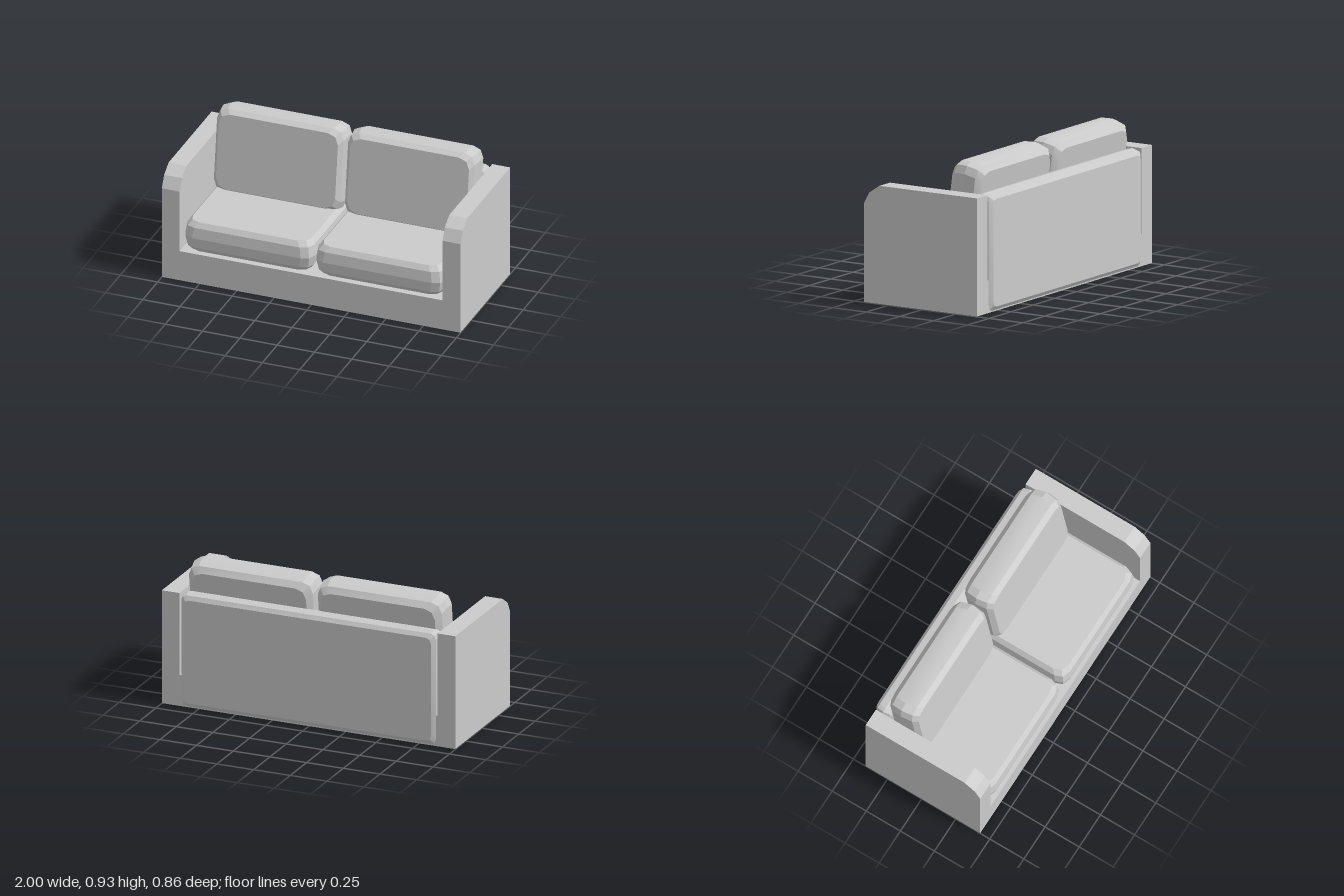
import * as THREE from 'three';
import { toCreasedNormals } from 'three/addons/utils/BufferGeometryUtils.js';

const material = new THREE.MeshStandardMaterial({ color: 0xcccccc });

// Rectangle outline with two-step chamfered corners, counter-clockwise
function outline(hx, hy, c) {
  const points = [];
  for (const [sx, sy] of [[1, 1], [-1, 1], [-1, -1], [1, -1]]) {
    const corner = [[hx, hy - c], [hx - 0.28 * c, hy - 0.28 * c], [hx - c, hy]];
    if (sx * sy < 0) corner.reverse();
    corner.forEach(([x, y]) => points.push([sx * x, sy * y]));
  }
  return points;
}

// Padded slab lofted along z through layers of [z, inset]
function paddedSlab(hx, hy, c, layers) {
  const positions = [], index = [];
  const n = 12;
  for (const [z, inset] of layers) {
    for (const [x, y] of outline(hx - inset, hy - inset, c)) positions.push(x, y, z);
  }
  for (let k = 0; k < layers.length - 1; k++) {
    for (let i = 0; i < n; i++) {
      const a = k * n + i, b = k * n + (i + 1) % n;
      index.push(a, b, b + n, a, b + n, a + n);
    }
  }
  const last = (layers.length - 1) * n;
  for (let i = 1; i < n - 1; i++) {
    index.push(0, i + 1, i, last, last + i, last + i + 1);
  }
  const geometry = new THREE.BufferGeometry();
  geometry.setAttribute('position', new THREE.Float32BufferAttribute(positions, 3));
  geometry.setIndex(index);
  return toCreasedNormals(geometry, 0.3);
}

export function createModel() {
  const sofa = new THREE.Group();
  sofa.name = 'sofa';
  const add = (name, geometry, x, y, z) => {
    const mesh = new THREE.Mesh(geometry, material);
    mesh.name = name;
    mesh.position.set(x, y, z);
    sofa.add(mesh);
    return mesh;
  };

  // Base between the arms
  add('base', new THREE.BoxGeometry(1.76, 0.205, 0.84), 0, 0.1025, 0.01);

  // Arms: side profile drawn as (-z, y) and extruded across x
  const profile = [[-0.43, 0], [0.41, 0], [0.41, 0.75], [-0.315, 0.75], [-0.39, 0.7], [-0.43, 0.625]];
  const armShape = new THREE.Shape(profile.map(([x, y]) => new THREE.Vector2(x, y)));
  const armGeometry = new THREE.ExtrudeGeometry(armShape, { depth: 0.12, bevelEnabled: false });
  armGeometry.rotateY(Math.PI / 2);
  add('leftArm', armGeometry, 0.88, 0, 0);
  add('rightArm', armGeometry, -1, 0, 0);

  // Padded back panel
  const panel = paddedSlab(0.877, 0.377, 0.035,
    [[-0.065, 0.035], [-0.045, 0.01], [0, 0], [0.045, 0.01], [0.065, 0.035]]);
  add('backPanel', panel, 0, 0.375, -0.365);

  // Seat and back cushions, one pair per side
  const seat = paddedSlab(0.434, 0.36, 0.07,
    [[-0.102, 0.035], [-0.07, 0.012], [0, 0], [0.07, 0.01], [0.102, 0.035]]);
  seat.rotateX(-Math.PI / 2);
  const back = paddedSlab(0.434, 0.285, 0.07,
    [[-0.11, 0.045], [-0.075, 0.012], [0, 0], [0.075, 0.01], [0.108, 0.035]]);
  for (const [side, s] of [['left', 1], ['right', -1]]) {
    add(side + 'SeatCushion', seat, s * 0.439, 0.307, 0.06);
    add(side + 'BackCushion', back, s * 0.439, 0.65, -0.205).rotation.x = -0.13;
  }
  return sofa;
}
